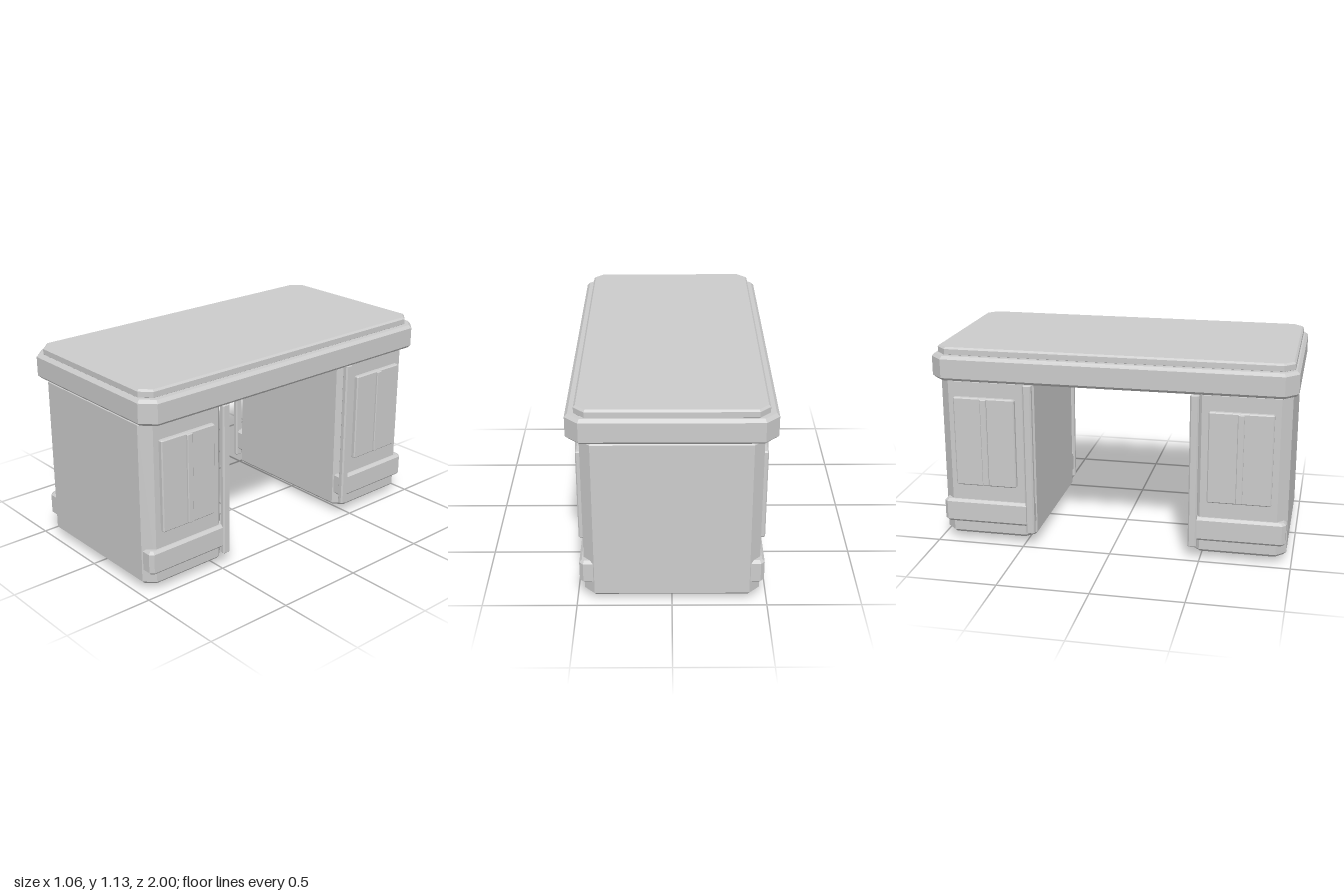
import * as THREE from 'three';

// Upright block with cut vertical corners and one-step bevels on top and bottom edges
function block(width, depth, y0, y1, cut, bevel) {
  const w = width / 2, d = depth / 2;
  const outline = [
    [-w + cut, -d], [w - cut, -d], [w, -d + cut], [w, d - cut],
    [w - cut, d], [-w + cut, d], [-w, d - cut], [-w, -d + cut],
  ].map(([x, y]) => new THREE.Vector2(x, y));
  const geometry = new THREE.ExtrudeGeometry(new THREE.Shape(outline), {
    depth: y1 - y0 - 2 * bevel, bevelEnabled: true, bevelSegments: 1,
    bevelSize: bevel, bevelThickness: bevel, bevelOffset: -bevel,
  });
  geometry.translate(0, 0, y0 + bevel);
  geometry.rotateX(-Math.PI / 2);
  return geometry;
}

// Foot: shallow pointed profile across z, extruded along x
function footGeometry() {
  const profile = [[-0.12, 0.045], [-0.09, 0.024], [0, 0], [0.09, 0.024], [0.12, 0.045]];
  const shape = new THREE.Shape(profile.map(([z, y]) => new THREE.Vector2(z, y)));
  const geometry = new THREE.ExtrudeGeometry(shape, { depth: 0.092, bevelEnabled: false });
  geometry.translate(0, 0, -0.046);
  geometry.rotateY(Math.PI / 2);
  return geometry;
}

export function createModel() {
  const desk = new THREE.Group();
  desk.name = 'desk';
  const grey = new THREE.MeshStandardMaterial({ color: 0xcccccc, flatShading: true });
  grey.name = 'grey';

  const add = (parent, name, geometry, x = 0, z = 0) => {
    const mesh = new THREE.Mesh(geometry, grey);
    mesh.name = name;
    mesh.position.set(x, 0, z);
    parent.add(mesh);
  };

  // Table top and the raised writing surface
  add(desk, 'tableTop', block(1.056, 2, 0.957, 1.094, 0.07, 0.016));
  add(desk, 'writingSurface', block(0.966, 1.95, 1.085, 1.135, 0.056, 0.01));

  // Shared pedestal parts
  const body = block(0.924, 0.53, 0.04, 0.957, 0.055, 0.017);
  const skirting = block(0.968, 0.52, 0.115, 0.25, 0.02, 0.014);
  const panel = block(0.06, 0.348, 0.344, 0.856, 0.006, 0.006);
  const panelBar = block(0.06, 0.036, 0.35, 0.852, 0.004, 0.004);
  const post = block(0.036, 0.048, 0.077, 0.944, 0.008, 0.005);
  const foot = footGeometry();

  for (const end of [1, -1]) {
    const pedestal = new THREE.Group();
    pedestal.name = end > 0 ? 'frontPedestal' : 'backPedestal';
    add(pedestal, 'pedestalBody', body, 0, 0.705 * end);
    add(pedestal, 'skirting', skirting, 0, 0.705 * end);
    for (const side of [1, -1]) {
      add(pedestal, 'sidePanel', panel, 0.457 * side, 0.708 * end);
      add(pedestal, 'panelBar', panelBar, 0.469 * side, 0.708 * end);
      add(pedestal, 'cornerPost', post, 0.474 * side, 0.459 * end);
      add(pedestal, 'foot', foot, 0.309 * side, 0.72 * end);
    }
    desk.add(pedestal);
  }
  return desk;
}
